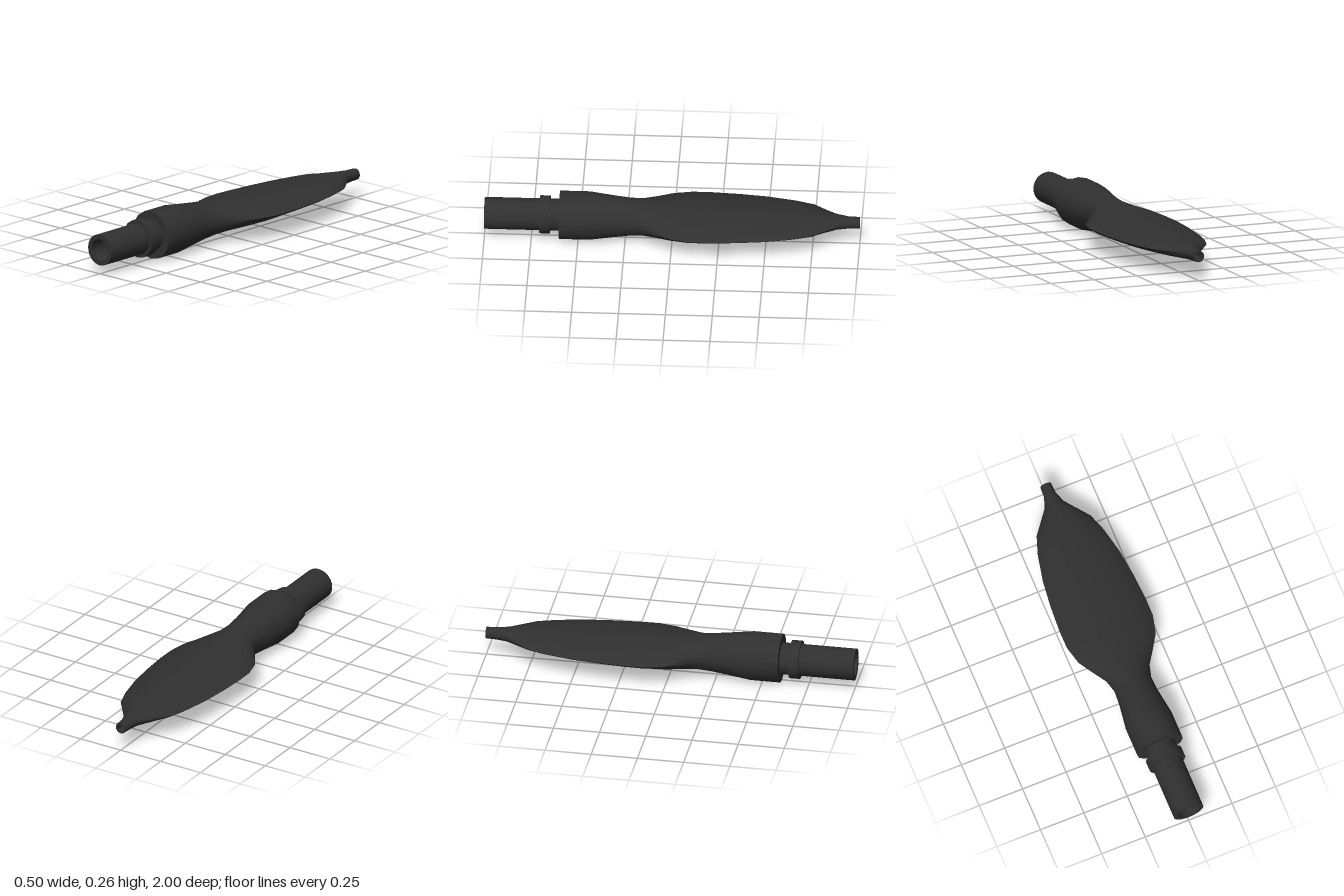
import * as THREE from 'three';
import { toCreasedNormals } from 'three/addons/utils/BufferGeometryUtils.js';

const SIDES = 16;
const AXIS_Y = 0.133;

const dark = new THREE.MeshStandardMaterial({ color: 0x303030, side: THREE.DoubleSide });
const grey = new THREE.MeshStandardMaterial({ color: 0xcccccc, side: THREE.DoubleSide });

// Bag sections from the rear nozzle to the front cuff:
// z, half width, half height, pinch (1 = round, higher = sharper side edges)
const SECTIONS = [
  [-0.9, 0.02, 0.02, 1],
  [-1, 0.022, 0.022, 1],
  [-1, 0.031, 0.031, 1],
  [-0.94, 0.034, 0.033, 1],
  [-0.88, 0.055, 0.037, 1.2],
  [-0.75, 0.155, 0.045, 1.5],
  [-0.65, 0.19, 0.05, 1.6],
  [-0.5, 0.222, 0.056, 1.6],
  [-0.35, 0.239, 0.062, 1.6],
  [-0.2, 0.248, 0.068, 1.6],
  [-0.1, 0.247, 0.073, 1.6],
  [0, 0.222, 0.079, 1.5],
  [0.08, 0.172, 0.085, 1.3],
  [0.15, 0.125, 0.092, 1.1],
  [0.22, 0.106, 0.101, 1],
  [0.3, 0.111, 0.112, 1],
  [0.44, 0.131, 0.131, 1],
  [0.6, 0.131, 0.131, 1],
  [0.6, 0.06, 0.06, 1],
];

function loftBag() {
  const positions = [], index = [];
  SECTIONS.forEach(([z, w, h, pinch], i) => {
    for (let j = 0; j < SIDES; j++) {
      const a = (j / SIDES) * Math.PI * 2;
      const s = Math.sin(a);
      // the flat side edges sit slightly above the axis
      const lift = 0.006 * Math.min(1, (pinch - 1) * 2) * Math.abs(Math.cos(a));
      positions.push(w * Math.cos(a), h * Math.sign(s) * Math.abs(s) ** pinch + lift, z);
      if (i === SECTIONS.length - 1) continue;
      const k = (j + 1) % SIDES;
      const p = i * SIDES, q = p + SIDES;
      index.push(p + j, p + k, q + j, p + k, q + k, q + j);
    }
  });
  const g = new THREE.BufferGeometry();
  g.setAttribute('position', new THREE.Float32BufferAttribute(positions, 3));
  g.setIndex(index);
  return toCreasedNormals(g, 0.9);
}

// Turned part along z from [radius, z] pairs
function turned(points, sides = SIDES) {
  const g = new THREE.LatheGeometry(points.map(([r, z]) => new THREE.Vector2(r, z)), sides);
  g.rotateX(Math.PI / 2);
  return toCreasedNormals(g, 0.6);
}

export function createModel() {
  const group = new THREE.Group();
  const add = (name, geometry, material) => {
    const mesh = new THREE.Mesh(geometry, material);
    mesh.name = name;
    mesh.position.y = AXIS_Y;
    group.add(mesh);
  };

  // Flattened bag with rear nozzle and round front cuff
  add('bag', loftBag(), dark);

  // Hollow connecting tube
  add('tube', turned([[0.06, 0.5], [0.085, 0.5], [0.085, 1], [0.06, 1], [0.06, 0.5]], 24), dark);

  // Raised ring around the tube
  add('collar', turned([[0.085, 0.65], [0.103, 0.65], [0.103, 0.705], [0.085, 0.705]]), dark);

  // Stepped insert with a small bore, recessed in the tube
  add('insert', turned([
    [0.015, 0.46], [0.058, 0.46], [0.059, 0.62], [0.055, 0.62], [0.047, 0.6],
    [0.043, 0.57], [0.03, 0.55], [0.015, 0.54], [0.015, 0.46],
  ]), grey);

  return group;
}
